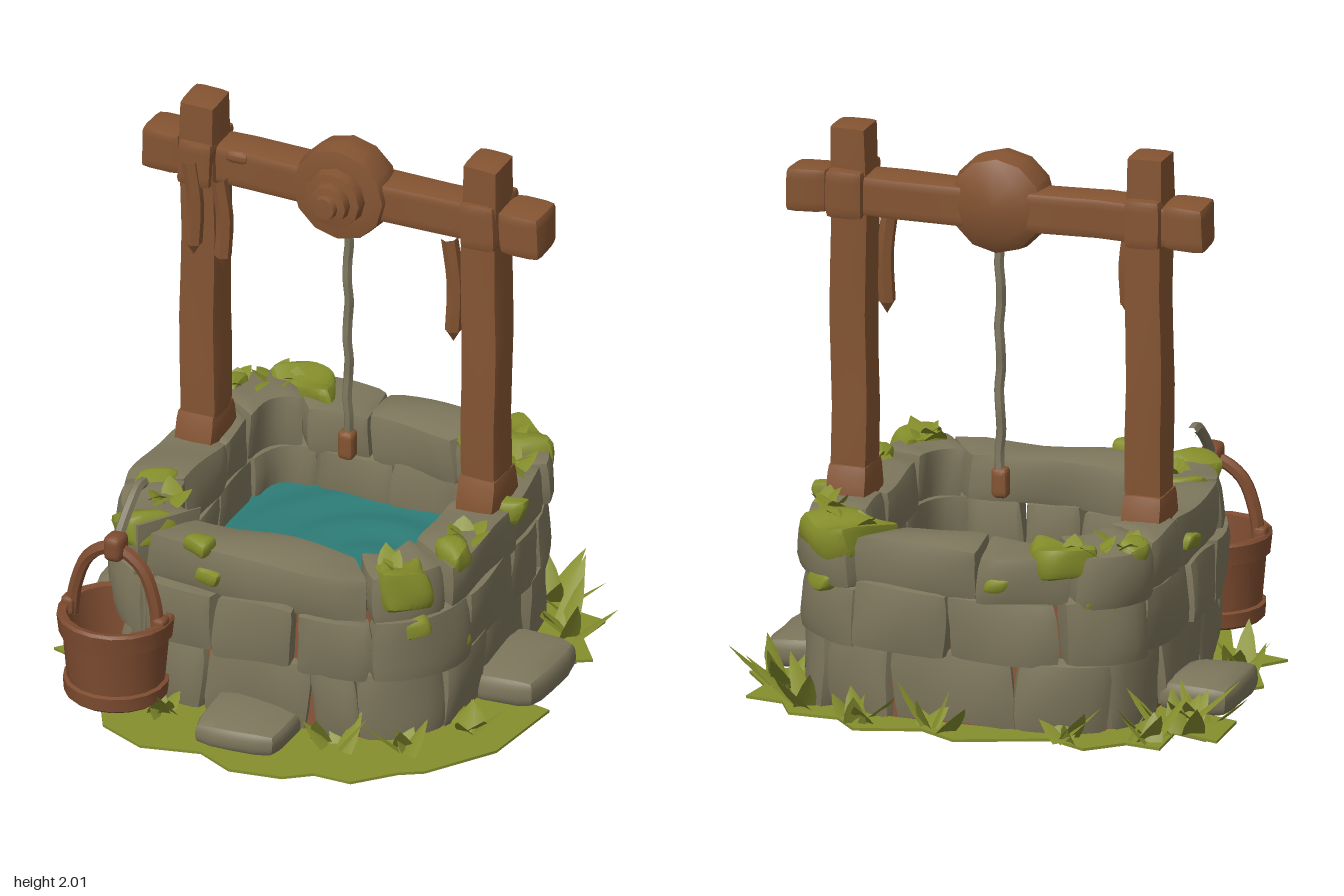
import * as THREE from 'three';
import { toCreasedNormals } from 'three/addons/utils/BufferGeometryUtils.js';

const CX = 0.01, CZ = -0.1, RAD = Math.PI / 180;
const lerp = THREE.MathUtils.lerp;
let seed = 7;
const rnd = () => (seed = (seed * 16807) % 2147483647) / 2147483647;
const between = (a, b) => lerp(a, b, rnd());
const v = (x, y, z) => new THREE.Vector3(x, y, z);

const flat = (name, color, side = THREE.FrontSide) => {
  const m = new THREE.MeshStandardMaterial({ color, side });
  m.name = name;
  return m;
};

// radius of a rounded-square plan at an angle (0 = front)
const plan = (t, a, n) => a / Math.pow(Math.abs(Math.sin(t)) ** n + Math.abs(Math.cos(t)) ** n, 1 / n);

// move every vertex by a rule
function reshape(geo, rule) {
  const p = geo.attributes.position, q = new THREE.Vector3();
  for (let i = 0; i < p.count; i++) {
    q.fromBufferAttribute(p, i);
    rule(q);
    p.setXYZ(i, q.x, q.y, q.z);
  }
  return geo;
}

// smooth lumps, the same for shared corners
function wobble(q, s, amp, f) {
  const { x, y, z } = q;
  q.x += amp * Math.sin(f * y + s * 1.7 + f * 0.6 * z);
  q.y += amp * Math.sin(f * z + s * 2.9 + f * 0.7 * x);
  q.z += amp * Math.sin(f * x + s * 4.1 + f * 0.5 * y);
}

// subdivided box with softened edges
function softBox(w, h, d, r, sx = 4, sy = 4, sz = 4) {
  const c = new THREE.Vector3();
  return reshape(new THREE.BoxGeometry(w, h, d, sx, sy, sz), q => {
    c.set(...[[q.x, w], [q.y, h], [q.z, d]].map(([k, s]) => THREE.MathUtils.clamp(k, r - s / 2, s / 2 - r)));
    q.sub(c);
    if (q.lengthSq() > 0) q.setLength(r);
    q.add(c);
  });
}

export function createModel() {
  seed = 7;
  const model = new THREE.Group();
  model.name = 'well';
  const stone = flat('stone', 0x7d765c), mortar = flat('mortar', 0x8c5638);
  const wood = flat('wood', 0x845432), bucketWood = flat('bucketWood', 0x7e4c30, THREE.DoubleSide);
  const moss = flat('moss', 0x838c2a, THREE.DoubleSide), grass = flat('grass', 0x868f2e, THREE.DoubleSide);
  const water = flat('water', 0x2d7b76), rope = flat('rope', 0x7d765e);

  function add(name, geo, mat, parent = model, crease = 0.6) {
    const mesh = new THREE.Mesh(toCreasedNormals(geo, crease), mat);
    mesh.name = name;
    parent.add(mesh);
    return mesh;
  }
  const group = name => {
    const g = new THREE.Group();
    g.name = name;
    model.add(g);
    return g;
  };

  // block bent around the wall, between two angles in degrees
  function wallBlock(name, a0, a1, y0, y1, inner, outer, mat, parent, amp = 0.009, f = 13) {
    const w = (a1 - a0) * RAD * 0.65, h = y1 - y0, d = outer - inner, s = rnd() * 20;
    const geo = reshape(softBox(w, h, d, Math.min(0.032, h / 3, d / 3, w / 3), 8, 4, 4), q => {
      const t = lerp(a0, a1, q.x / w + 0.5) * RAD;
      const rad = lerp(plan(t, inner, 9), plan(t, outer, 4), q.z / d + 0.5);
      q.set(CX + rad * Math.sin(t), q.y + (y0 + y1) / 2, CZ + rad * Math.cos(t));
      wobble(q, s, amp, f);
    });
    return add(name, geo, mat, parent);
  }

  // mortar core between the stones
  const ring = (a, n) => Array.from({ length: 64 }, (_, i) => {
    const t = i / 64 * Math.PI * 2, r = plan(t, a, n);
    return new THREE.Vector2(r * Math.sin(t), r * Math.cos(t));
  });
  const core = new THREE.Shape(ring(0.605, 4));
  core.holes.push(new THREE.Path(ring(0.465, 9)));
  add('mortarCore', new THREE.ExtrudeGeometry(core, { depth: 0.56, bevelEnabled: false })
    .rotateX(-Math.PI / 2).translate(CX, 0.02, CZ), mortar);

  // courses of stones: edge angles, bottom, top, outer half width
  const wall = group('stoneWall');
  const courses = [
    [[-40, -17, 19, 33, 58, 80, 112, 140, 160, 200, 225, 250, 285, 302, 320], 0.015, 0.285, 0.645],
    [[-34, -12, 14, 36, 68, 98, 118, 150, 178, 212, 238, 270, 292, 326], 0.26, 0.505, 0.665],
    [[-36, 36, 58, 100, 124, 150, 188, 215, 240, 262, 300, 324], 0.48, 0.675, 0.66],
  ];
  courses.forEach(([edges, y0, y1, outer], row) => edges.forEach((a, i) => {
    const b = i + 1 < edges.length ? edges[i + 1] : edges[0] + 360;
    const top = y1 + between(-0.015, row === 2 ? 0.015 : 0.005), slack = between(-0.8, 0.25);
    wallBlock(row === 2 ? 'rimStone' : 'wallStone', a + slack, b - slack, y0, top, 0.43,
      outer + between(-0.015, 0.015), stone, wall);
  }));

  // moss draped over the rim: start, end, bottom, inner, outer
  const mossGroup = group('rimMoss');
  [[38, 52, 0.54, 0.52, 0.68], [60, 68, 0.61, 0.55, 0.68], [130, 150, 0.57, 0.45, 0.67], [205, 222, 0.58, 0.5, 0.675],
    [228, 236, 0.6, 0.55, 0.68], [296, 306, 0.6, 0.46, 0.6], [314, 326, 0.58, 0.52, 0.675],
    [97, 103, 0.6, 0.55, 0.68]]
    .forEach(([a, b, y, i, o]) => wallBlock('mossPatch', a, b, y, 0.697, i, o, moss, mossGroup, 0.015, 24));
  // small moss patches on the wall
  [[-14, 0.57], [47, 0.47], [62, 0.33], [195, 0.57], [140, 0.5], [222, 0.5], [-90, 0.56], [-17, 0.66]].forEach(([a, y]) =>
    wallBlock('mossTuft', a - 4, a + 4, y - 0.03, y + 0.03, 0.59, 0.675, moss, mossGroup, 0.014, 24));

  // rippled water
  add('water', reshape(new THREE.PlaneGeometry(0.92, 0.9, 28, 28).rotateX(-Math.PI / 2), q => {
    q.y = 0.35 + 0.006 * Math.sin(32 * Math.hypot(q.x - 0.1, q.z + 0.05));
  }).translate(CX, 0, CZ), water, model, 1);

  // ground: ragged turf over a stone base
  const outline = [[-0.91, -0.6], [-0.74, -0.54], [-0.75, -0.74], [-0.62, -0.72], [-0.5, -0.83], [-0.36, -0.76], [-0.2, -0.82],
    [-0.04, -0.88], [0.1, -0.8], [0.33, -0.87], [0.42, -0.77], [0.6, -0.77], [0.66, -0.66], [0.8, -0.64], [0.78, -0.5],
    [0.88, -0.37], [0.74, -0.28], [0.8, 0], [0.9, 0.02], [0.86, 0.36], [0.7, 0.6], [0.62, 0.65], [0.5, 0.78], [0.36, 0.78],
    [0.27, 0.85], [0.08, 0.88], [-0.06, 0.81], [-0.27, 0.86], [-0.45, 0.78], [-0.55, 0.6], [-0.62, 0.42], [-0.84, 0.36],
    [-0.76, 0.26], [-0.86, 0.05], [-0.73, -0.1], [-0.72, -0.3], [-0.9, -0.36]];
  const slab = (name, scale, y, mat) => {
    const shape = new THREE.Shape(outline.map(([x, z]) => new THREE.Vector2(x * scale, -z * scale)));
    add(name, new THREE.ExtrudeGeometry(shape, { depth: 0.01, bevelEnabled: false })
      .rotateX(-Math.PI / 2).translate(0, y, 0), mat);
  };
  slab('groundBase', 0.94, 0, stone);
  slab('turf', 1, 0.01, grass);

  // clump of broad curling leaves
  function tuft(x, y, z, h, mat, parent, leanMin, leanMax) {
    for (let i = 0; i < 6; i++) {
      const k = h * between(0.65, 1.15), lean = between(leanMin, leanMax) * k;
      const blade = reshape(new THREE.PlaneGeometry(0.075, k, 2, 3).translate(0, k / 2, 0), q => {
        const u = q.y / k;
        q.x *= 1.1 - u * u * 1.08;
        q.z = lean * u + Math.abs(q.x) * 0.25;
      });
      add('leaf', blade.rotateY(i * 1.05 + rnd()).translate(x + between(-0.05, 0.05), y, z + between(-0.04, 0.04)), mat, parent);
    }
  }
  const tufts = group('grassTufts');
  [[-0.76, -0.56, 0.17], [-0.66, -0.66, 0.15], [-0.4, -0.76, 0.12], [0.05, -0.78, 0.13], [0.35, -0.77, 0.1], [0.6, -0.66, 0.15],
    [0.73, -0.5, 0.16], [0.33, 0.58, 0.13], [0.55, 0.5, 0.12], [0.7, 0.25, 0.1], [-0.74, 0.2, 0.13], [-0.3, 0.62, 0.09],
    [-0.78, -0.42, 0.12]].forEach(([x, z, h]) => tuft(x, 0.015, z, h, grass, tufts, 0.4, 1.3));
  // low leaves on the rim moss
  [[0.5, 0.42], [0.42, -0.6], [0.56, -0.45], [-0.44, -0.64], [-0.54, -0.55], [-0.46, 0.3], [0.6, 0.08]]
    .forEach(([x, z]) => tuft(x, 0.67, z, 0.05, moss, mossGroup, 1, 1.8));

  // softened, lumpy block centred at a point
  function lump(name, w, h, d, x, y, z, mat, parent, amp = 0.006, r = 0.02) {
    const s = rnd() * 20;
    return add(name, reshape(softBox(w, h, d, r, 4, 8, 4).translate(x, y, z), q => wobble(q, s, amp, 9)), mat, parent);
  }
  // stones lying around the wall
  lump('sideStone', 0.27, 0.13, 0.37, -0.72, 0.06, -0.14, stone, model, 0.008, 0.055);
  lump('sideStone', 0.27, 0.13, 0.37, 0.73, 0.07, -0.12, stone, model, 0.008, 0.055);
  lump('frontStone', 0.32, 0.11, 0.3, 0.04, 0.06, 0.61, stone, model, 0.008, 0.05);

  // posts with feet, cross beam
  const frame = group('frame');
  for (const x of [-0.53, 0.55]) {
    lump('post', 0.14, 1.36, 0.155, x, 1.32, -0.21, wood, frame, 0.004);
    const foot = softBox(0.15, 0.14, 0.24, 0.02);
    add('postFoot', reshape(foot, q => { q.z *= 0.85 - 2 * q.y; }).translate(x, 0.71, -0.21), wood, frame);
    lump('postJoint', 0.135, 0.18, 0.21, x, 1.77, -0.22, wood, frame);
  }
  lump('beam', 1.48, 0.15, 0.14, 0.005, 1.76, -0.225, wood, frame);
  for (const x of [-0.685, 0.695]) lump('beamEnd', 0.15, 0.165, 0.155, x, 1.76, -0.225, wood, frame);

  // hanging splinters: x, top, bottom, z
  [[-0.53, 1.78, 1.46, -0.115], [-0.43, 1.72, 1.42, -0.14], [0.455, 1.7, 1.34, -0.14]].forEach(([x, t, b, z]) => {
    const path = new THREE.CatmullRomCurve3([v(x - 0.015, t, z), v(x + 0.005, lerp(t, b, 0.5), z - 0.005), v(x, b, z)]);
    add('splinter', new THREE.TubeGeometry(path, 6, 0.03, 6), wood, frame);
    add('splinterTip', new THREE.ConeGeometry(0.03, 0.05, 6).rotateX(Math.PI).translate(x, b - 0.02, z), wood, frame);
  });
  lump('beamKnot', 0.09, 0.05, 0.05, -0.39, 1.815, -0.165, wood, frame);

  // winding wheel: stepped hub facing forward
  const profile = [[0, -0.31], [0.12, -0.305], [0.17, -0.27], [0.182, -0.2], [0.172, -0.135], [0.12, -0.125], [0.11, -0.125],
    [0.105, -0.085], [0.075, -0.08], [0.072, -0.045], [0.045, -0.04], [0.04, -0.02], [0, -0.018]];
  add('wheel', new THREE.LatheGeometry(profile.map(([r, y]) => new THREE.Vector2(r, y)), 12)
    .rotateX(Math.PI / 2).translate(0.012, 1.768, 0), wood, frame);

  // rope with its end weight
  const ropePath = new THREE.CatmullRomCurve3(Array.from({ length: 12 }, (_, i) =>
    v(0.017 + 0.004 * Math.sin(i * 2), 1.62 - i * 0.076, -0.21 + 0.004 * Math.cos(i * 2))));
  add('rope', new THREE.TubeGeometry(ropePath, 48, 0.018, 6), rope);
  lump('ropeWeight', 0.06, 0.11, 0.06, 0.012, 0.75, -0.21, wood, model, 0.004, 0.018);

  // bucket with bands, ears, handle and hook
  const bucket = group('bucket');
  bucket.position.set(-0.48, 0, 0.61);
  const side = [[0, 0.065], [0.17, 0.065], [0.182, 0.075], [0.186, 0.125], [0.172, 0.13], [0.187, 0.3], [0.2, 0.305],
    [0.208, 0.375], [0.2, 0.385], [0.175, 0.38], [0.155, 0.14], [0, 0.14]];
  add('bucketBody', new THREE.LatheGeometry(side.map(([r, y]) => new THREE.Vector2(r, y)), 18), bucketWood, bucket);
  const arch = new THREE.CatmullRomCurve3([v(-0.165, 0.34, 0.01), v(-0.15, 0.46, 0.01), v(-0.1, 0.58, 0.01), v(0, 0.635, 0.01),
    v(0.1, 0.58, 0.01), v(0.15, 0.46, 0.01), v(0.165, 0.34, 0.01)]);
  add('bucketHandle', new THREE.TubeGeometry(arch, 24, 0.024, 7), bucketWood, bucket);
  for (const x of [-0.175, 0.175]) lump('handleEar', 0.05, 0.07, 0.06, x, 0.37, 0.01, bucketWood, bucket, 0.003, 0.015);
  lump('handleKnot', 0.07, 0.1, 0.09, 0, 0.64, 0.01, bucketWood, bucket, 0.006, 0.025);
  const hook = new THREE.CatmullRomCurve3([v(0, 0.64, 0), v(0.005, 0.7, -0.04), v(0.01, 0.765, -0.1), v(0.01, 0.795, -0.15), v(0.01, 0.79, -0.2)]);
  add('hook', new THREE.TubeGeometry(hook, 14, 0.02, 6), rope, bucket);

  return model;
}
